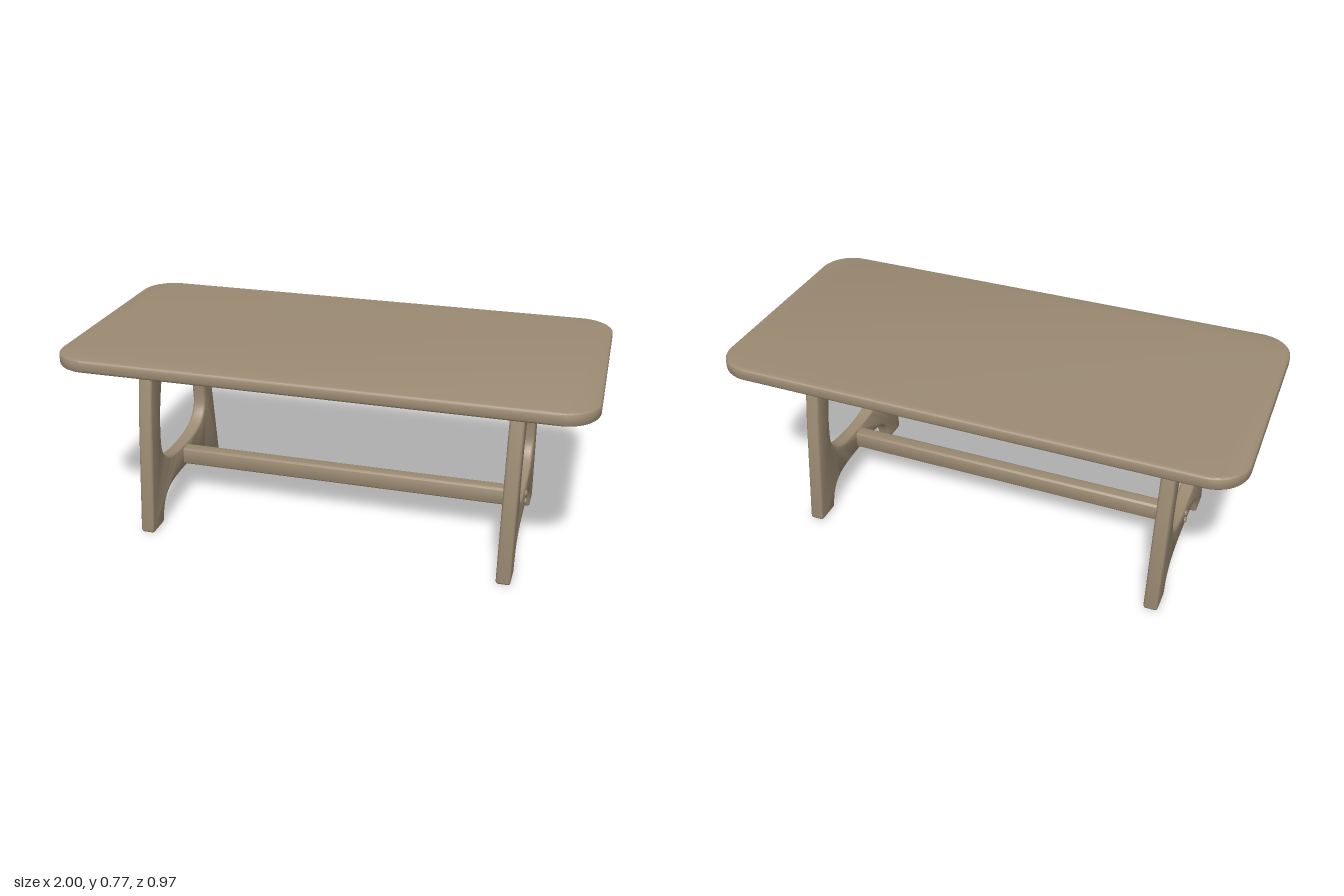
import * as THREE from 'three';
import { toCreasedNormals } from 'three/addons/utils/BufferGeometryUtils.js';

const wood = new THREE.MeshStandardMaterial({ color: 0x9c8b73 });
wood.name = 'warm oak';

function mesh(name, geometry) {
  const m = new THREE.Mesh(geometry, wood);
  m.name = name;
  return m;
}

// Centred extrusion with rounded edges that keeps the outline's size
function slab(shape, depth, bevel, curveSegments = 12) {
  const g = new THREE.ExtrudeGeometry(shape, {
    depth: depth - 2 * bevel, bevelEnabled: true, bevelThickness: bevel,
    bevelSize: bevel, bevelOffset: -bevel, bevelSegments: 4, curveSegments,
  });
  g.translate(0, 0, -depth / 2 + bevel);
  return toCreasedNormals(g, 0.7);
}

function roundedRect(w, h, r) {
  const x = w / 2, y = h / 2, s = new THREE.Shape();
  s.moveTo(x, -y + r);
  s.absarc(x - r, y - r, r, 0, Math.PI / 2);
  s.absarc(-x + r, y - r, r, Math.PI / 2, Math.PI);
  s.absarc(-x + r, -y + r, r, Math.PI, Math.PI * 1.5);
  s.absarc(x - r, -y + r, r, Math.PI * 1.5, Math.PI * 2);
  return s;
}

// A-shaped end frame: tapered legs, arched foot rail and rounded opening
function frameShape() {
  const s = new THREE.Shape();
  s.moveTo(0.25, 0.75);
  s.lineTo(-0.25, 0.75);
  s.quadraticCurveTo(-0.292, 0.57, -0.312, 0.42);
  s.lineTo(-0.363, 0.02);
  s.quadraticCurveTo(-0.364, 0, -0.35, 0);
  s.lineTo(-0.27, 0);
  s.quadraticCurveTo(-0.258, 0, -0.255, 0.02);
  s.bezierCurveTo(-0.235, 0.13, -0.16, 0.135, 0, 0.135);
  s.bezierCurveTo(0.16, 0.135, 0.235, 0.13, 0.255, 0.02);
  s.quadraticCurveTo(0.258, 0, 0.27, 0);
  s.lineTo(0.35, 0);
  s.quadraticCurveTo(0.364, 0, 0.363, 0.02);
  s.lineTo(0.312, 0.42);
  s.quadraticCurveTo(0.292, 0.57, 0.25, 0.75);

  const h = new THREE.Path();
  h.moveTo(0, 0.23);
  h.bezierCurveTo(0.15, 0.233, 0.225, 0.26, 0.227, 0.34);
  h.bezierCurveTo(0.227, 0.46, 0.19, 0.58, 0.143, 0.685);
  h.quadraticCurveTo(0.135, 0.704, 0.115, 0.704);
  h.lineTo(-0.115, 0.704);
  h.quadraticCurveTo(-0.135, 0.704, -0.143, 0.685);
  h.bezierCurveTo(-0.19, 0.58, -0.227, 0.46, -0.227, 0.34);
  h.bezierCurveTo(-0.225, 0.26, -0.15, 0.233, 0, 0.23);
  s.holes.push(h);
  return s;
}

// Thin tapered cleat that meets the underside of the top
function cleatShape() {
  return new THREE.Shape([[0.4, 0.735], [-0.4, 0.735], [-0.4, 0.721], [-0.25, 0.71], [0.25, 0.71], [0.4, 0.721]]
    .map(([x, y]) => new THREE.Vector2(x, y)));
}

export function createModel() {
  const table = new THREE.Group();
  table.name = 'trestleTable';

  const top = slab(roundedRect(2, 0.97, 0.13), 0.05, 0.012, 16);
  top.rotateX(-Math.PI / 2).translate(0, 0.75, 0);
  table.add(mesh('tableTop', top));

  const frame = slab(frameShape(), 0.055, 0.01, 14).rotateY(Math.PI / 2);
  const cleat = slab(cleatShape(), 0.05, 0.003).rotateY(Math.PI / 2);
  const bolt = new THREE.SphereGeometry(0.013, 14, 8).scale(0.7, 1, 1);

  for (const side of [-1, 1]) {
    const end = new THREE.Group();
    end.name = side > 0 ? 'leftTrestle' : 'rightTrestle';
    end.position.x = side * 0.714;
    end.add(mesh('legFrame', frame), mesh('cleat', cleat));
    // Pair of bolt heads on the outer face
    for (const y of [0.168, 0.203]) {
      const b = mesh('boltHead', bolt);
      b.position.set(side * 0.0275, y, 0);
      end.add(b);
    }
    table.add(end);
  }

  // Stretcher joining the two end frames
  const bar = slab(roundedRect(0.06, 0.072, 0.014), 1.39, 0.002, 5);
  bar.rotateY(Math.PI / 2).translate(0, 0.186, 0);
  table.add(mesh('stretcher', bar));

  return table;
}
